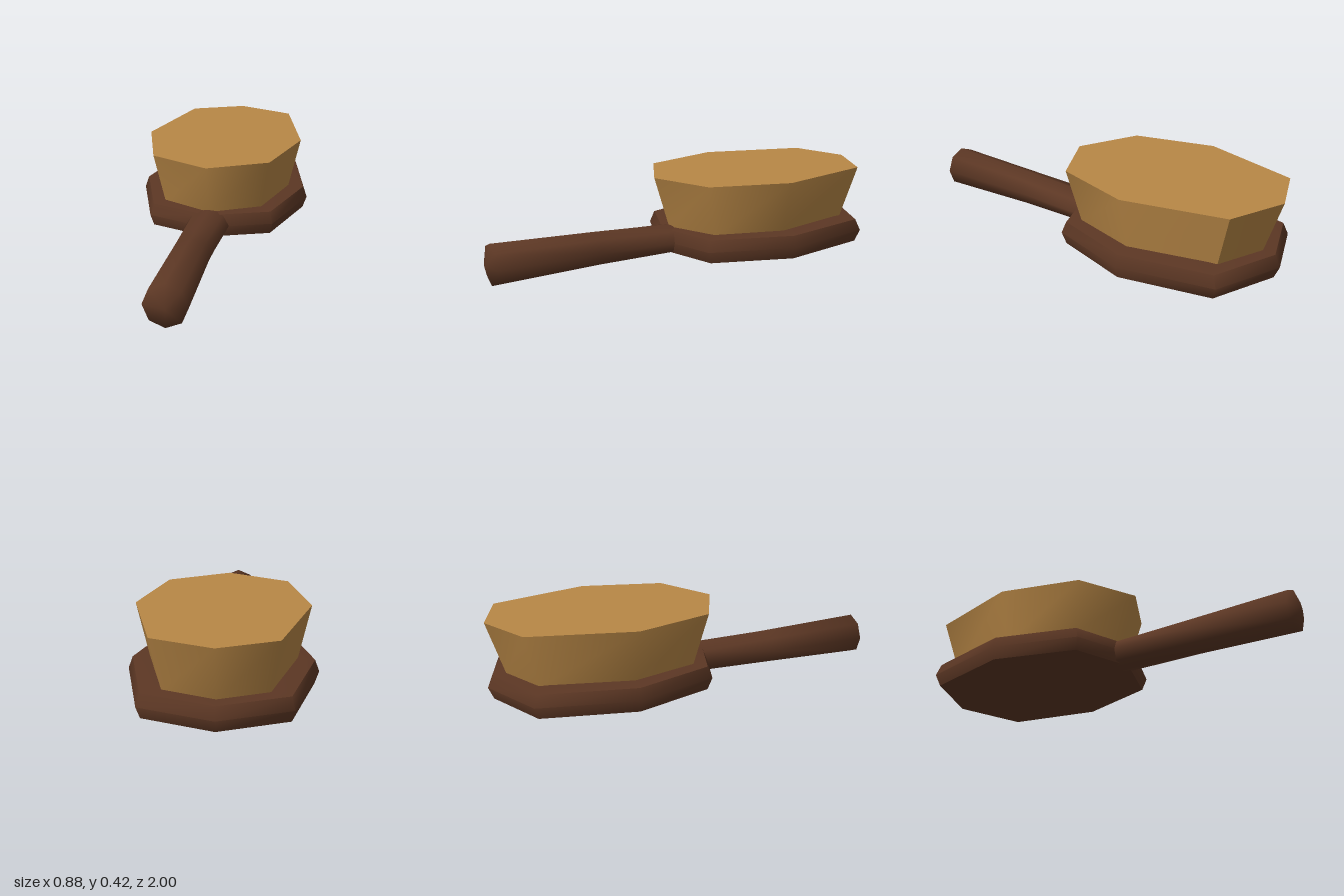
import * as THREE from 'three';
import { toCreasedNormals } from 'three/addons/utils/BufferGeometryUtils.js';

// Closed skin over matching rings, with a centre point closing each end
function loft(rings, startPoint, endPoint, crease) {
  const pos = [];
  const tri = (...pts) => pts.forEach((p) => pos.push(p.x, p.y, p.z));
  const n = rings[0].length;
  for (let i = 0; i < n; i++) {
    const j = (i + 1) % n;
    for (let k = 0; k < rings.length - 1; k++) {
      const lo = rings[k], hi = rings[k + 1];
      tri(lo[i], hi[i], lo[j]);
      tri(lo[j], hi[i], hi[j]);
    }
    const last = rings[rings.length - 1];
    tri(startPoint, rings[0][i], rings[0][j]);
    tri(endPoint, last[j], last[i]);
  }
  const geo = new THREE.BufferGeometry();
  geo.setAttribute('position', new THREE.Float32BufferAttribute(pos, 3));
  return toCreasedNormals(geo, crease);
}

const CENTRE_Z = -0.41;

// Upright form: one outline [x, z], repeated at levels [y, scale]
function stack(outline, levels, crease) {
  const rings = levels.map(([y, s]) => outline.map(([x, z]) =>
    new THREE.Vector3(x * s, y, CENTRE_Z + (z - CENTRE_Z) * s)));
  const cap = (level) => new THREE.Vector3(0, level[0], CENTRE_Z);
  return loft(rings, cap(levels[0]), cap(levels[levels.length - 1]), crease);
}

export function createModel() {
  const group = new THREE.Group();
  const wood = new THREE.MeshStandardMaterial({ color: 0x5c3724 });
  wood.name = 'dark wood';
  const bristle = new THREE.MeshStandardMaterial({ color: 0xb88746 });
  bristle.name = 'tan bristle';
  const add = (name, geo, mat) => {
    const mesh = new THREE.Mesh(geo, mat);
    mesh.name = name;
    group.add(mesh);
  };

  // Eight-sided back plate with a bevelled rim
  const plate = [[0, -1], [0.342, -0.872], [0.44, -0.41], [0.311, 0],
    [0, 0.11], [-0.311, 0], [-0.44, -0.41], [-0.328, -0.872]];
  add('backPlate', stack(plate,
    [[0.046, 0.955], [0.104, 1], [0.16, 0.955], [0.167, 0.78]], 1.0), wood);

  // Bristle block flaring upward
  const block = [[0, -0.998], [0.28, -0.887], [0.4, -0.4], [0.288, -0.012],
    [0, 0.13], [-0.292, -0.012], [-0.4, -0.4], [-0.265, -0.89]];
  add('bristleBlock', stack(block, [[0.16, 0.85], [0.418, 1]], 0.9), bristle);

  // Tapered handle: sections [z, centre x, half width, half height]
  const sections = [[0.04, 0, 0.106, 0.07], [0.45, -0.008, 0.093, 0.085], [0.965, -0.006, 0.1, 0.102]];
  const rings = sections.map(([z, cx, w, h]) => Array.from({ length: 8 }, (_, i) => {
    const a = (i * Math.PI) / 4;
    return new THREE.Vector3(cx + w * Math.sin(a), 0.104 + h * Math.cos(a), z);
  }));
  add('handle', loft(rings, new THREE.Vector3(0, 0.104, 0.04),
    new THREE.Vector3(0, 0.104, 0.998), 1.4), wood);

  return group;
}
